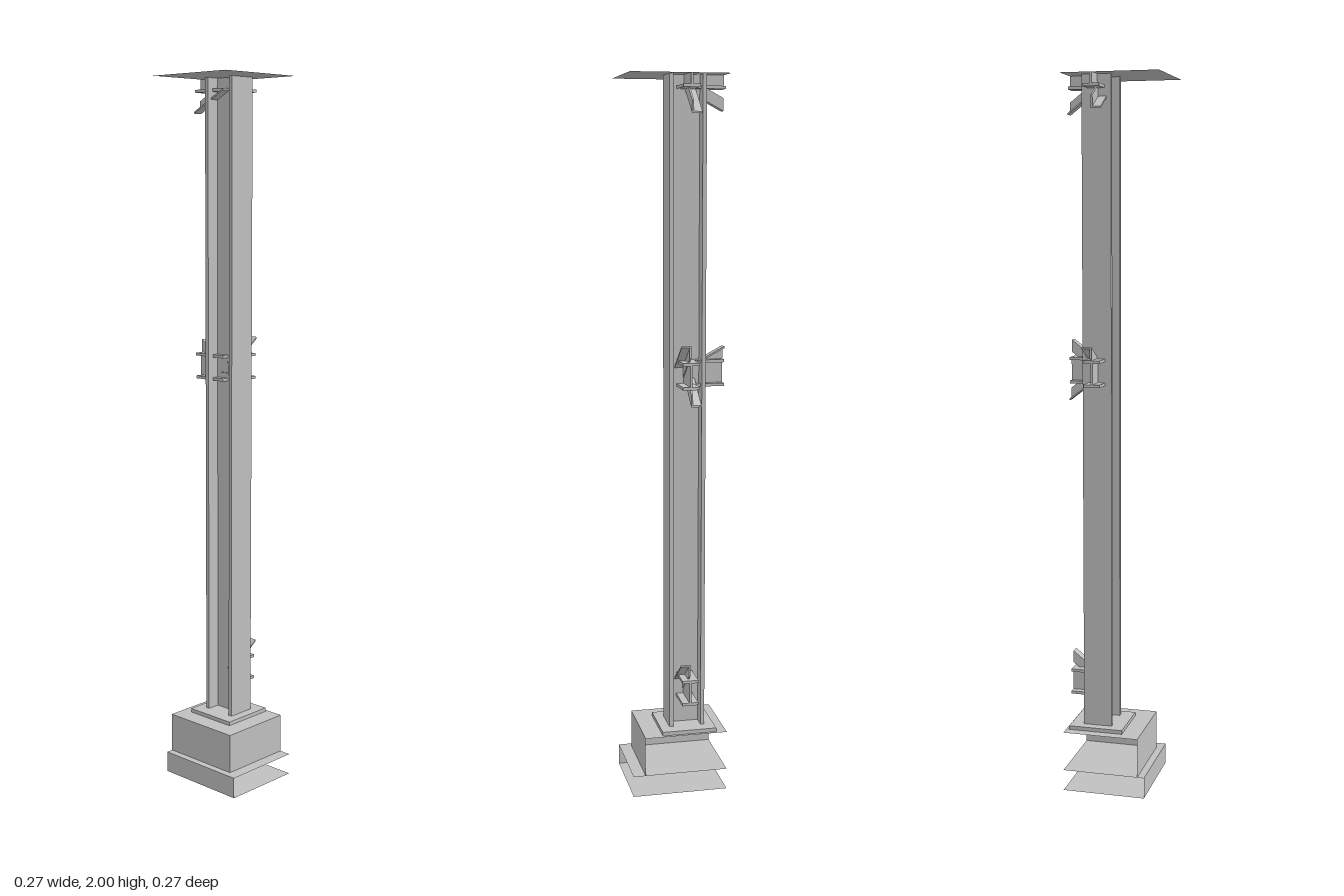
import * as THREE from 'three';

const steel = new THREE.MeshStandardMaterial({ color: 0xc0c0c0, side: THREE.DoubleSide });
steel.name = 'light grey';

const MIN = -0.137, MAX = 0.135; // cut planes around the column
const CX = -0.03, CZ = -0.05;    // column axis

function add(parent, name, geometry) {
  const mesh = new THREE.Mesh(geometry, steel);
  mesh.name = name;
  parent.add(mesh);
  return mesh;
}

// Box given by its limits
function block(parent, name, x0, x1, y0, y1, z0, z1) {
  const mesh = add(parent, name, new THREE.BoxGeometry(x1 - x0, y1 - y0, z1 - z0));
  mesh.position.set((x0 + x1) / 2, (y0 + y1) / 2, (z0 + z1) / 2);
}

// Flat rectangular face centred in the given limits
function sheet(parent, name, x0, x1, y, z0, z1) {
  const mesh = add(parent, name, new THREE.PlaneGeometry(x1 - x0, z1 - z0).rotateX(-Math.PI / 2));
  mesh.position.set((x0 + x1) / 2, y, (z0 + z1) / 2);
}

function wallFacingZ(parent, name, x0, x1, y0, y1, z) {
  const mesh = add(parent, name, new THREE.PlaneGeometry(x1 - x0, y1 - y0));
  mesh.position.set((x0 + x1) / 2, (y0 + y1) / 2, z);
}

function wallFacingX(parent, name, x, y0, y1, z0, z1) {
  const mesh = add(parent, name, new THREE.PlaneGeometry(z1 - z0, y1 - y0).rotateY(Math.PI / 2));
  mesh.position.set(x, (y0 + y1) / 2, (z0 + z1) / 2);
}

// Sloping bar with upright ends, running outward along local x
function slopedBar(parent, name, length, slope, low, high, z0, z1) {
  const u = -0.005;
  const shape = new THREE.Shape([
    new THREE.Vector2(u, low + u * slope),
    new THREE.Vector2(length, low + length * slope),
    new THREE.Vector2(length, high + length * slope),
    new THREE.Vector2(u, high + u * slope),
  ]);
  const geometry = new THREE.ExtrudeGeometry(shape, { depth: z1 - z0, bevelEnabled: false });
  add(parent, name, geometry).position.z = z0;
}

// Angle-section brace: one upright leg, one leg across its outer edge
function brace(parent, y, length, slope, dir) {
  const group = new THREE.Group();
  group.name = dir > 0 ? 'risingBrace' : 'fallingBrace';
  group.position.y = y;
  const h = 0.017, t = 0.005, w = 0.028;
  slopedBar(group, 'uprightLeg', length, dir * slope, -h, h, dir > 0 ? 0 : -t, dir > 0 ? t : 0);
  slopedBar(group, 'crossLeg', length, dir * slope,
    dir > 0 ? h - t : -h, dir > 0 ? h : t - h, dir > 0 ? 0 : -w, dir > 0 ? w : 0);
  parent.add(group);
}

// Short I-beam stub along local x, trimmed at the top plane
function beam(parent, y, length) {
  const h = 0.037, w = 0.023, t = 0.008;
  block(parent, 'beamWeb', 0, length, y - h, Math.min(2, y + h), -0.003, 0.003);
  block(parent, 'beamBottomFlange', 0, length, y - h, y - h + t, -w, w);
  if (y + h < 2) block(parent, 'beamTopFlange', 0, length, y + h - t, y + h, -w, w);
}

export function createModel() {
  const model = new THREE.Group();
  model.name = 'steelColumn';

  // Footing slab: two sheets and the front edge, open on the cut sides
  const slabFront = 0.1;
  sheet(model, 'footingBottom', MIN, MAX, 0, MIN, slabFront);
  sheet(model, 'footingTop', MIN, MAX, 0.06, MIN, slabFront);
  wallFacingZ(model, 'footingFront', MIN, MAX, 0, 0.06, slabFront);

  // Pedestal, open at the back and right cuts
  sheet(model, 'pedestalTop', MIN, 0.1, 0.172, MIN, 0.08);
  wallFacingZ(model, 'pedestalFront', MIN, 0.1, 0.06, 0.172, 0.08);
  wallFacingX(model, 'pedestalSide', 0.1, 0.06, 0.172, MIN, 0.08);

  // Base plate and H-section column
  block(model, 'basePlate', CX - 0.078, CX + 0.078, 0.172, 0.183, CZ - 0.078, CZ + 0.078);
  for (const s of [-1, 1]) {
    const xs = [CX + s * 0.051, CX + s * 0.04].sort((a, b) => a - b);
    block(model, 'columnFlange', xs[0], xs[1], 0.183, 2, CZ - 0.041, CZ + 0.041);
  }
  block(model, 'columnWeb', CX - 0.04, CX + 0.04, 0.183, 2, CZ - 0.0035, CZ + 0.0035);

  // Floor sheet at the top cut
  sheet(model, 'topSheet', MIN, MAX, 2, MIN, MAX);

  // Beam stubs and braces toward the right and the back
  const sides = [
    { name: 'rightStubs', turn: Math.PI, length: CX - MIN, slope: 0.53, beams: [1.2, 2], up: [1.2], down: [1.98] },
    { name: 'backStubs', turn: Math.PI / 2, length: CZ - MIN, slope: 0.77, beams: [0.297, 1.2, 2], up: [0.297, 1.2], down: [1.2, 1.98] },
  ];
  for (const side of sides) {
    const group = new THREE.Group();
    group.name = side.name;
    group.position.set(CX, 0, CZ);
    group.rotation.y = side.turn;
    for (const y of side.beams) beam(group, y, side.length);
    for (const y of side.up) brace(group, y, side.length, side.slope, 1);
    for (const y of side.down) brace(group, y, side.length, side.slope, -1);
    model.add(group);
  }
  return model;
}
